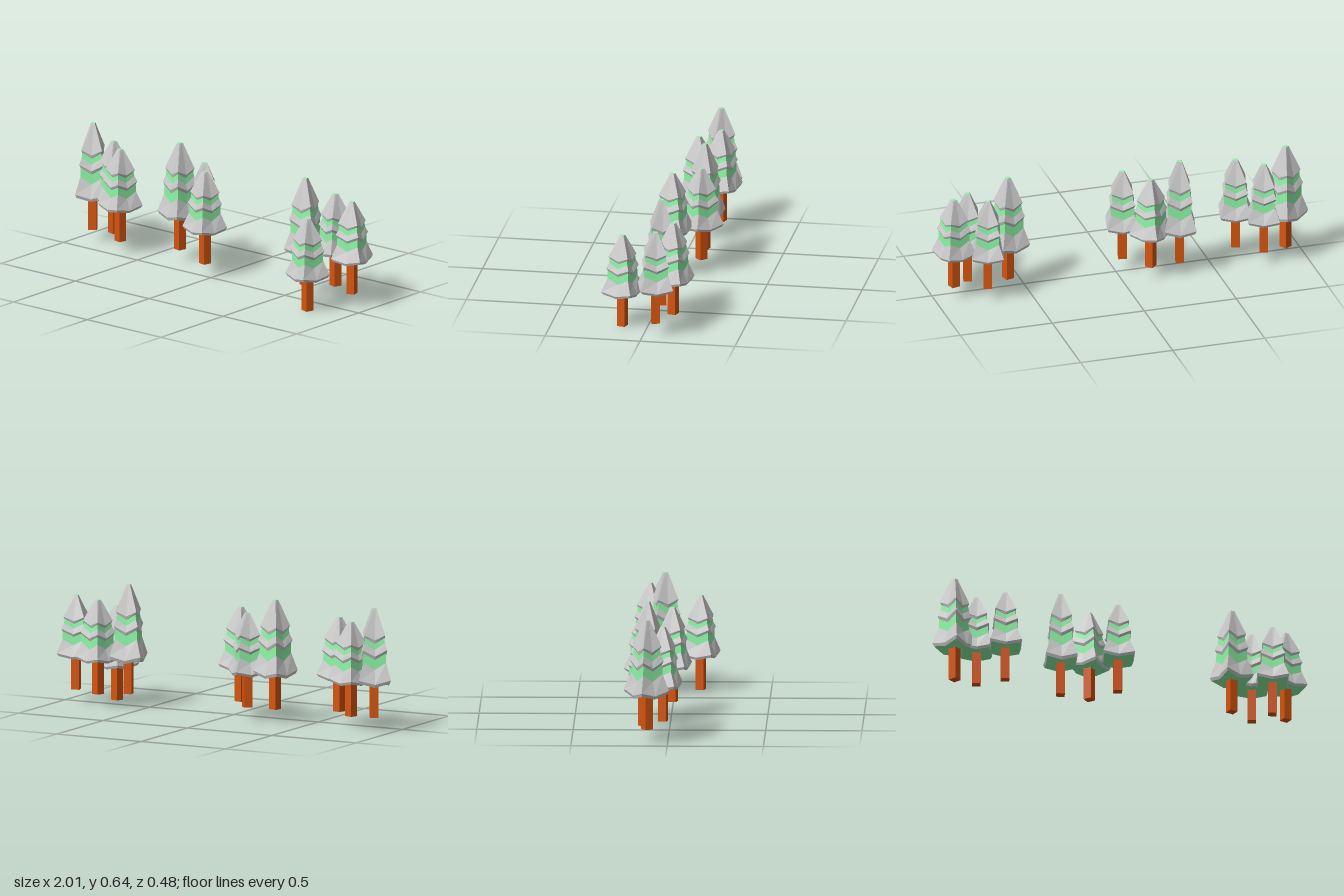
import * as THREE from 'three';

const mat = (color) => new THREE.MeshStandardMaterial({ color, flatShading: true });

// Square cross-sections of the foliage: [corner height, mid-side height, corner radius]
const RINGS = [
  [0.175, 0.175, 0],
  [0.183, 0.167, 0.108], // first tier lip
  [0.198, 0.18, 0.117],
  [0.27, 0.24, 0.083],
  [0.31, 0.283, 0.081], // second tier lip
  [0.325, 0.297, 0.09],
  [0.352, 0.325, 0.074],
  [0.375, 0.35, 0.07], // third tier lip
  [0.386, 0.365, 0.077],
  [0.495, 0.495, 0.016],
  [0.495, 0.495, 0],
];
const GREEN_BANDS = [0, 3, 6, 9];
const FOLIAGE_BASE = 0.165;

// Joins each chosen ring to the next; odd points are corners, even ones lie mid-side
function foliageGeometry(bands, stretch) {
  const point = (ring, i) => {
    const [cornerY, midY, radius] = RINGS[ring];
    const corner = i % 2 === 1;
    const r = corner ? radius : radius * Math.SQRT1_2;
    const a = (i * Math.PI) / 4;
    const y = FOLIAGE_BASE + ((corner ? cornerY : midY) - FOLIAGE_BASE) * stretch;
    return [r * Math.sin(a), y, r * Math.cos(a)];
  };
  const pos = [];
  for (const b of bands) {
    for (let i = 0; i < 8; i++) {
      const l0 = point(b, i), l1 = point(b, i + 1);
      const u0 = point(b + 1, i), u1 = point(b + 1, i + 1);
      if (RINGS[b][2] > 0) pos.push(...l0, ...l1, ...(RINGS[b + 1][2] > 0 ? u1 : u0));
      if (RINGS[b + 1][2] > 0) pos.push(...l0, ...u1, ...u0);
    }
  }
  const g = new THREE.BufferGeometry();
  g.setAttribute('position', new THREE.Float32BufferAttribute(pos, 3));
  g.computeVertexNormals();
  return g;
}

// Placement: [x, base y, z, turn, foliage stretch]
const TALL = 1.24;
const TREES = [
  [-0.89, 0.07, -0.107, 0.57, TALL],
  [-0.765, 0.07, -0.128, -0.28, 1],
  [-0.64, 0.072, -0.03, -0.24, 1],
  [-0.31, 0.07, -0.118, -0.22, TALL],
  [-0.15, 0.07, -0.128, -0.8, 1],
  [-0.037, 0.073, 0.006, -0.22, 1],
  [0.6, 0.07, -0.046, 0.28, TALL],
  [0.735, 0.07, -0.13, -0.3, 1],
  [0.9, 0.073, -0.065, 0.28, 1],
  [0.765, 0, 0.132, -0.27, 1],
];

export function createModel() {
  const model = new THREE.Group();
  model.name = 'treeClusters';
  const grey = mat(0xcccccc), green = mat(0x8cf5a5), brown = mat(0xd5550f);
  const trunkGeometry = new THREE.BoxGeometry(0.044, 0.18, 0.044).translate(0, 0.09, 0);
  const greyBands = RINGS.slice(1).map((_, i) => i).filter((i) => !GREEN_BANDS.includes(i));

  TREES.forEach(([x, y, z, turn, stretch], i) => {
    const tree = new THREE.Group();
    tree.name = `tree${i + 1}`;
    const add = (name, geometry, material) => {
      const mesh = new THREE.Mesh(geometry, material);
      mesh.name = name;
      tree.add(mesh);
    };
    add('trunk', trunkGeometry, brown);
    add('foliageTiers', foliageGeometry(greyBands, stretch), grey);
    add('foliageInnerBands', foliageGeometry(GREEN_BANDS, stretch), green);
    tree.position.set(x, y, z);
    tree.rotation.y = turn;
    model.add(tree);
  });
  return model;
}
